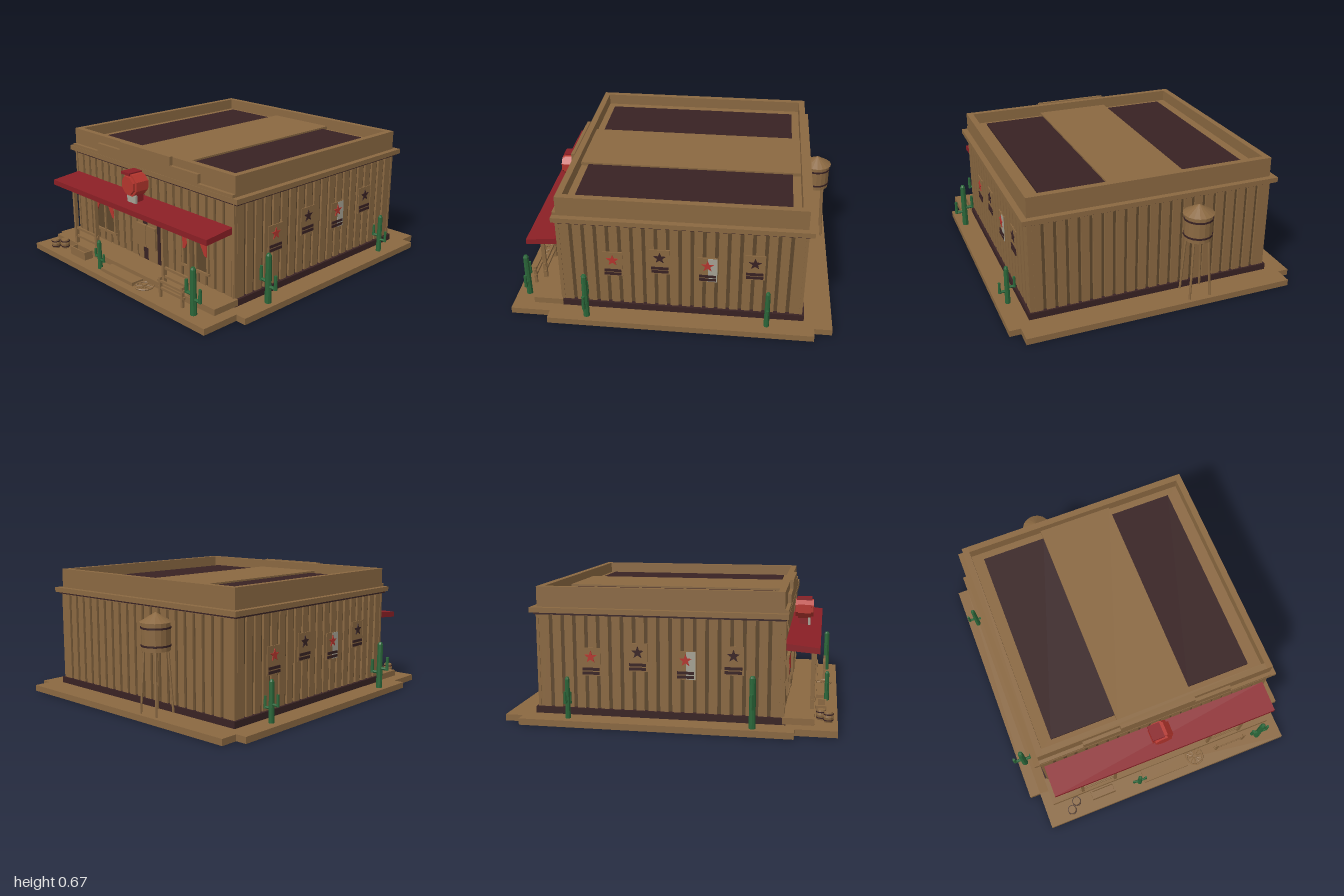
import * as THREE from 'three';

const mat = (name, color, flat = true) => {
  const m = new THREE.MeshStandardMaterial({ color, flatShading: flat });
  m.name = name;
  return m;
};

export function createModel() {
  const wood = mat('wood', 0x8a6841), gapWood = mat('shadow wood', 0x5e472c), dark = mat('dark brown', 0x382223);
  const awningRed = mat('awning red', 0x8a1f25), red = mat('bright red', 0xb4352d);
  const grey = mat('pale grey', 0xa5a294), green = mat('cactus green', 0x2a6639);
  const model = new THREE.Group();
  model.name = 'saloon';

  const add = (name, geo, m, x = 0, y = 0, z = 0, parent = model) => {
    const mesh = new THREE.Mesh(geo, m);
    mesh.name = name;
    mesh.position.set(x, y, z);
    parent.add(mesh);
    return mesh;
  };
  // Box given by its minimum and maximum on each axis
  const box = (name, m, x0, x1, y0, y1, z0, z1, parent = model) =>
    add(name, new THREE.BoxGeometry(x1 - x0, y1 - y0, z1 - z0), m, (x0 + x1) / 2, (y0 + y1) / 2, (z0 + z1) / 2, parent);
  const cyl = (name, m, r0, r1, h, n, x, y, z, parent = model) =>
    add(name, new THREE.CylinderGeometry(r0, r1, h, n), m, x, y, z, parent);
  // Thin cylinder between two points
  const rod = (name, m, a, b, r, parent = model) => {
    const p = new THREE.Vector3(...a), q = new THREE.Vector3(...b), d = q.clone().sub(p);
    const mesh = cyl(name, m, r, r, d.length(), 6, 0, 0, 0, parent);
    mesh.position.copy(p).add(q).multiplyScalar(0.5);
    mesh.quaternion.setFromUnitVectors(new THREE.Vector3(0, 1, 0), d.normalize());
    return mesh;
  };
  const polygon = (pts) => new THREE.Shape(pts.map(([x, y]) => new THREE.Vector2(x, y)));
  const plate = (pts, depth) => new THREE.ExtrudeGeometry(polygon(pts), { depth, bevelEnabled: false });
  const group = (name, x = 0, y = 0, z = 0) => {
    const g = new THREE.Group();
    g.name = name;
    g.position.set(x, y, z);
    model.add(g);
    return g;
  };

  // Ground slab with notched corners
  const slab = [[-0.7, -0.86], [0.7, -0.86], [0.7, -0.66], [0.757, -0.66], [0.757, 0.67], [0.7, 0.67],
    [0.7, 0.76], [-0.7, 0.76], [-0.7, 0.67], [-0.757, 0.67], [-0.757, -0.66], [-0.7, -0.66]];
  add('ground slab', plate(slab, 0.032), wood).rotation.x = -Math.PI / 2;

  // Main block, plinth, porch
  box('wall core', gapWood, -0.622, 0.622, 0.03, 0.545, -0.6, 0.595);
  box('plinth', dark, -0.645, 0.645, 0.03, 0.065, -0.62, 0.615);
  box('porch deck', wood, -0.65, 0.65, 0.038, 0.07, 0.6, 0.75);
  box('porch step', wood, -0.13, 0.13, 0.03, 0.05, 0.75, 0.82);

  // Vertical boards on each wall, with a flat rail at the top
  const boards = (name, width, dist, angle) => {
    const g = group(name);
    g.rotation.y = angle;
    const n = Math.round(width / 0.06), step = width / n;
    for (let i = 0; i < n; i++) {
      const x = -width / 2 + i * step;
      box('board', wood, x + 0.009, x + step - 0.009, 0.065, 0.53, dist - 0.004, dist + 0.011, g);
    }
    for (const s of [-1, 1]) box('corner board', wood, s * width / 2 - 0.015, s * width / 2 + 0.015, 0.04, 0.54, dist - 0.004, dist + 0.01, g);
    box('top rail', wood, -width / 2, width / 2, 0.527, 0.545, dist - 0.004, dist + 0.013, g);
  };
  boards('front boards', 1.24, 0.595, 0);
  boards('back boards', 1.24, 0.6, Math.PI);
  boards('right boards', 1.19, 0.622, Math.PI / 2);
  boards('left boards', 1.19, 0.622, -Math.PI / 2);

  // Cornice, parapet ring and roof
  box('cornice underside', dark, -0.65, 0.65, 0.53, 0.542, -0.617, 0.61);
  box('cornice', wood, -0.663, 0.663, 0.54, 0.565, -0.635, 0.622);
  for (const s of [-1, 1]) {
    box('parapet side', wood, s < 0 ? -0.633 : 0.6, s < 0 ? -0.6 : 0.633, 0.56, 0.665, -0.605, 0.602);
    box('parapet end', wood, -0.6, 0.6, 0.56, 0.665, s < 0 ? -0.605 : 0.57, s < 0 ? -0.572 : 0.602);
    box('roof panel', dark, s < 0 ? -0.54 : 0.2, s < 0 ? -0.2 : 0.535, 0.6, 0.615, -0.53, 0.53);
  }
  box('roof deck', wood, -0.6, 0.6, 0.56, 0.606, -0.573, 0.571);
  box('roof walkway', wood, -0.2, 0.2, 0.6, 0.624, -0.573, 0.571);
  const steps = [[-0.633, 0.56], [0.633, 0.56], [0.633, 0.58], [0.4, 0.58], [0.4, 0.625], [0.2, 0.625], [0.2, 0.669],
    [-0.2, 0.669], [-0.2, 0.625], [-0.4, 0.625], [-0.4, 0.58], [-0.633, 0.58]];
  add('stepped front panel', plate(steps, 0.018), wood, 0, 0, 0.602);

  // Awning with posts and hanging tabs
  const awning = add('awning', new THREE.ExtrudeGeometry(polygon([[0.605, 0.388], [0.768, 0.375], [0.768, 0.403], [0.605, 0.42]]),
    { depth: 1.24, bevelEnabled: false }), awningRed, 0.62);
  awning.rotation.y = -Math.PI / 2;
  for (let i = 0; i < 11; i++) box('hanging tab', grey, -0.54 + i * 0.1, -0.48 + i * 0.1, 0.366, 0.382, 0.735, 0.74);
  for (const s of [-1, 1]) {
    for (const x of [0.28, 0.47]) box('awning post', wood, s * x - 0.008, s * x + 0.008, 0.065, 0.385, 0.725, 0.745);
    for (const y of [0.105, 0.15]) box('porch rail', wood, s * 0.375 - 0.11, s * 0.375 + 0.11, y, y + 0.012, 0.73, 0.74);

    // Window with frame and tied curtains
    const w = group('window', s * 0.37, 0, 0.606);
    box('window pane', gapWood, -0.09, 0.09, 0.14, 0.325, 0, 0.004, w);
    for (const x of [-0.095, -0.002, 0.083]) box('window upright', wood, x, x + 0.012, 0.13, 0.33, 0, 0.012, w);
    for (const y of [0.13, 0.32]) box('window rail', wood, -0.1, 0.1, y, y + 0.012, 0, 0.014, w);
    for (const t of [-1, 1]) {
      const pts = [[0.02, 0.32], [0.088, 0.32], [0.088, 0.225], [0.07, 0.23]];
      const curtain = t > 0 ? pts : pts.map(([x, y]) => [-x, y]);
      add('curtain', plate(curtain, 0.006), red, 0, 0, 0.007, w);
    }
  }

  // Swing doors in a dark doorway
  box('doorway', dark, -0.08, 0.1, 0.07, 0.335, 0.6, 0.611);
  box('door panel', wood, -0.075, -0.035, 0.07, 0.335, 0.6, 0.614);
  box('door panel', wood, 0.005, 0.078, 0.07, 0.335, 0.6, 0.614);
  for (const s of [-1, 1]) box('swing door', wood, s < 0 ? -0.078 : 0.002, s < 0 ? -0.002 : 0.076, 0.145, 0.265, 0.61, 0.625);

  // Octagonal roof sign on a pale stand
  const sign = group('sign', -0.005, 0.5, 0.675);
  for (const [r, h] of [[0.06, 0.07], [0.048, 0.096]]) {
    const disc = cyl('sign disc', red, r, r, h, 8, 0, 0, 0, sign);
    disc.rotation.set(Math.PI / 2, Math.PI / 8, 0);
  }
  box('sign brim', awningRed, -0.06, 0.005, 0.048, 0.062, -0.04, 0.04, sign);
  box('sign neck', awningRed, -0.025, 0.03, -0.1, -0.04, -0.025, 0.025, sign);
  box('sign stand', grey, -0.028, 0.04, -0.095, -0.05, 0.02, 0.032, sign);

  // Posters: star over bars, the same row on both sides
  const star = polygon(Array.from({ length: 10 }, (_, i) => {
    const r = i % 2 ? 0.013 : 0.032, a = Math.PI / 2 + i * Math.PI / 5;
    return [r * Math.cos(a), r * Math.sin(a)];
  }));
  const starGeo = new THREE.ExtrudeGeometry(star, { depth: 0.004, bevelEnabled: false });
  for (const s of [-1, 1]) {
    const row = group(s > 0 ? 'left posters' : 'right posters');
    row.rotation.y = s * Math.PI / 2;
    [[-0.335, 0.3, red], [-0.1, 0.33, dark], [0.135, 0.3, red], [0.365, 0.33, dark]].forEach(([x, y, m], i) => {
      box('poster', wood, x - 0.05, x + 0.05, y - 0.07, y + 0.07, 0.63, 0.637, row);
      if (i === 2) box('poster sheet', grey, x + 0.002, x + 0.048, y - 0.068, y + 0.068, 0.635, 0.639, row);
      add('star', starGeo, m, x, y + 0.025, 0.638, row);
      for (const d of [0.035, 0.055]) box('poster bar', dark, x - 0.042, x + 0.042, y - d - 0.008, y - d + 0.006, 0.635, 0.641, row);
    });
  }

  // Water tower behind the back wall
  const tower = group('water tower', -0.2, 0, -0.68);
  cyl('tank', wood, 0.07, 0.07, 0.14, 16, 0, 0.41, 0, tower);
  for (const y of [0.365, 0.45]) cyl('tank band', dark, 0.073, 0.073, 0.009, 16, 0, y, 0, tower);
  cyl('tank roof', wood, 0.002, 0.078, 0.045, 16, 0, 0.499, 0, tower);
  for (const a of [-1, 1]) for (const b of [-1, 1])
    rod('tower leg', wood, [a * 0.055, 0.03, b * 0.055], [a * 0.04, 0.345, b * 0.04], 0.006, tower);

  // Cacti with raised arms
  const cactus = (x, z, h, w) => {
    const g = group('cactus', x, 0.032, z), r = w * 0.3;
    cyl('cactus trunk', green, r * 0.85, r, h, 8, 0, h / 2, 0, g);
    cyl('cactus tip', green, r * 0.5, r * 0.85, 0.012, 8, 0, h + 0.004, 0, g);
    for (const s of [-1, 1]) {
      const y = h * (s > 0 ? 0.35 : 0.45), rise = h * 0.3;
      rod('cactus elbow', green, [0, y, 0], [s * w * 0.86, y, 0], r * 0.5, g);
      cyl('cactus arm', green, r * 0.45, r * 0.55, rise, 8, s * w * 0.82, y + rise / 2 - 0.006, 0, g);
    }
  };
  [[0.715, 0.465, 0.24, 0.056], [-0.72, 0.465, 0.24, 0.056], [0.7, -0.435, 0.195, 0.046], [-0.705, -0.435, 0.195, 0.046],
    [0.565, 0.8, 0.225, 0.056], [-0.158, 0.805, 0.145, 0.042]].forEach((c) => cactus(...c));

  // Barrels, trough, bench and wagon wheel along the front
  const barrel = new THREE.LatheGeometry([[0, 0], [0.02, 0], [0.025, 0.025], [0.02, 0.05], [0, 0.05]]
    .map(([x, y]) => new THREE.Vector2(x, y)), 12);
  for (const [x, z] of [[-0.563, 0.815], [-0.525, 0.78]]) {
    add('barrel', barrel, wood, x, 0.035, z);
    for (const y of [0.046, 0.074]) cyl('barrel hoop', dark, 0.0245, 0.0245, 0.005, 12, x, y, z);
  }
  box('trough base', wood, -0.435, -0.3, 0.03, 0.045, 0.755, 0.805);
  for (const z of [0.755, 0.797]) box('trough side', wood, -0.435, -0.3, 0.035, 0.075, z, z + 0.008);
  for (const x of [-0.435, -0.308]) box('trough end', wood, x, x + 0.008, 0.035, 0.075, 0.755, 0.805);
  for (const y of [0.075, 0.11]) box('hitching bar', wood, 0.3, 0.49, y, y + 0.011, 0.784, 0.795);
  for (const x of [0.31, 0.47]) box('hitching post', wood, x, x + 0.012, 0.03, 0.135, 0.782, 0.796);
  const wheel = group('wagon wheel', 0.185, 0.042, 0.785);
  add('wheel rim', new THREE.TorusGeometry(0.046, 0.005, 6, 20), wood, 0, 0, 0, wheel).rotation.x = Math.PI / 2;
  cyl('wheel hub', wood, 0.011, 0.011, 0.02, 8, 0, 0, 0, wheel);
  for (let i = 0; i < 5; i++) {
    const a = i * Math.PI / 5, c = 0.045 * Math.cos(a), d = 0.045 * Math.sin(a);
    rod('wheel spoke', wood, [-c, 0, -d], [c, 0, d], 0.003, wheel);
  }
  return model;
}
